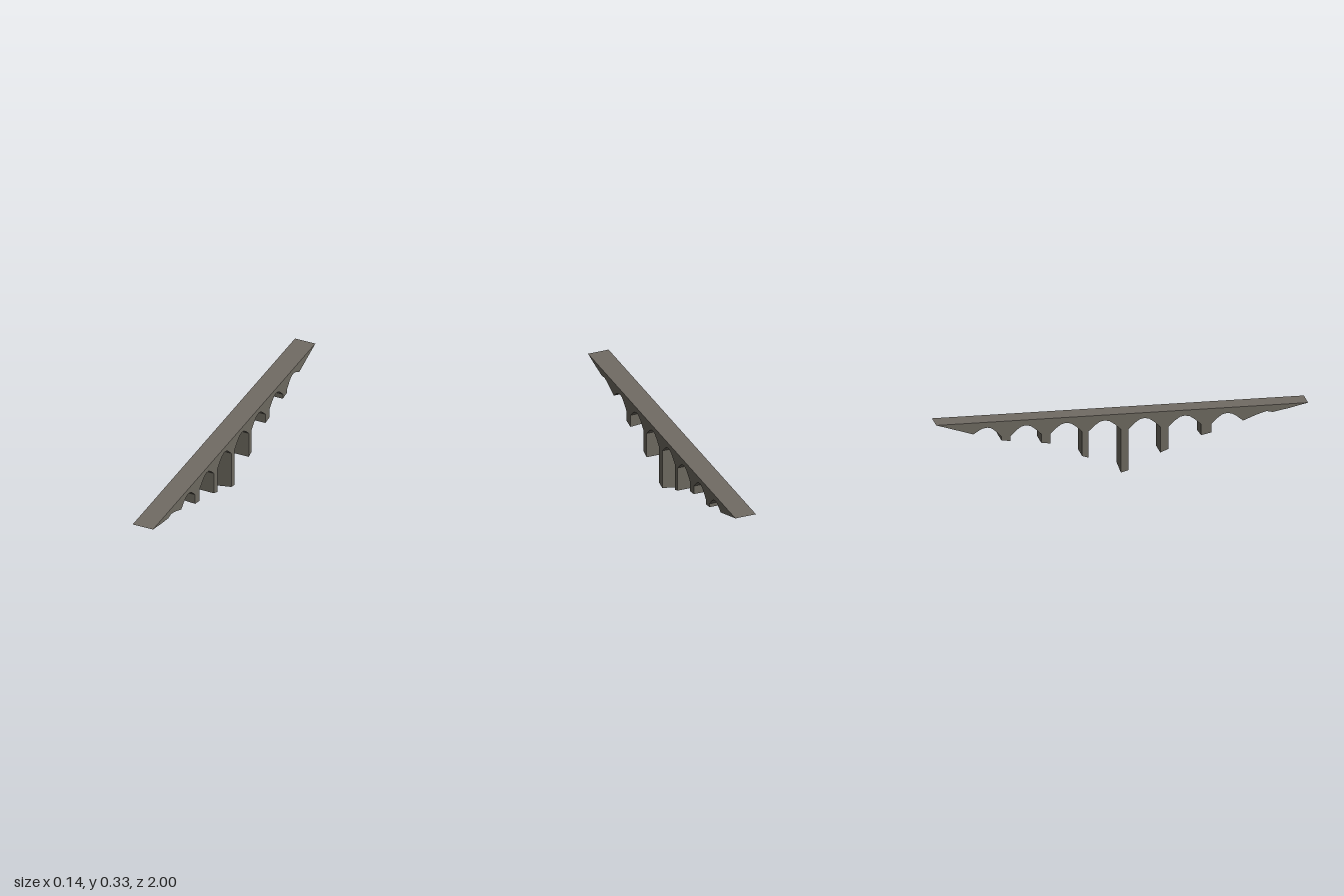
import * as THREE from 'three';

const WIDTH = 0.118, TOP = 0.328, SPRING = 0.243, CROWN = 0.298;

// Piers from front to back: front z, back z, foot heights at front and back,
// sideways foot slope, and whether the foot is pale
const PIERS = [
  { front: 0.48, back: 0.425, footFront: 0.19, footBack: 0.178, slope: -0.08, pale: true },
  { front: 0.25, back: 0.205, footFront: 0.118, footBack: 0.1, slope: 0, pale: false },
  { front: 0.035, back: -0.007, footFront: 0.022, footBack: 0.011, slope: 0.16, pale: true },
  { front: -0.18, back: -0.215, footFront: 0.095, footBack: 0.107, slope: 0, pale: false },
  { front: -0.385, back: -0.435, footFront: 0.188, footBack: 0.195, slope: 0, pale: false },
  { front: -0.6, back: -0.65, footFront: 0.215, footBack: 0.223, slope: 0, pale: false },
];

// Half of an arch: share of the span, share of the rise
const ARCH = [[0, 0], [0.2, 0.58], [0.35, 0.9], [0.5, 1]];

// Extrudes a [z, y] outline across the width and skews it along the slightly turned road line.
// pick(normal, centre) gives the material index of each triangle.
function slab(outline, name, materials, pick, footSlope = 0) {
  const shape = new THREE.Shape(outline.map(([z, y]) => new THREE.Vector2(-z, y)));
  const geometry = new THREE.ExtrudeGeometry(shape, { depth: WIDTH, bevelEnabled: false });
  geometry.translate(0, 0, -WIDTH / 2);
  geometry.rotateY(Math.PI / 2);
  const p = geometry.attributes.position;
  for (let i = 0; i < p.count; i++) {
    const x = p.getX(i), y = p.getY(i);
    if (y < SPRING - 0.01) p.setY(i, y + x * footSlope);
    p.setX(i, x - 0.009 * p.getZ(i));
  }
  geometry.computeVertexNormals();

  geometry.clearGroups();
  const triangle = new THREE.Triangle();
  const normal = new THREE.Vector3(), centre = new THREE.Vector3();
  for (let i = 0; i < p.count; i += 3) {
    triangle.setFromAttributeAndIndices(p, i, i + 1, i + 2);
    triangle.getNormal(normal);
    triangle.getMidpoint(centre);
    geometry.addGroup(i, 3, pick(normal, centre));
  }
  const mesh = new THREE.Mesh(geometry, materials);
  mesh.name = name;
  return mesh;
}

// Faceted arch from one springing point to the next
function arch(z0, y0, z1, y1) {
  const span = z1 - z0;
  const rising = ARCH.map(([t, h]) => [z0 + span * t, y0 + (CROWN - y0) * h]);
  const falling = ARCH.slice(0, -1).map(([t, h]) => [z1 - span * t, y1 + (CROWN - y1) * h]);
  return [...rising, ...falling.reverse()];
}

function paint(name, color) {
  const material = new THREE.MeshStandardMaterial({ color });
  material.name = name;
  return material;
}

export function createModel() {
  const model = new THREE.Group();
  model.name = 'archBridge';
  const stone = paint('weathered stone', 0x6e6a60);
  const road = paint('road surface', 0x716b64);
  const pale = paint('pale grey underside', 0xaeaeb2);

  // Deck and arches: front abutment, seven arches, back abutment
  const outline = [[1, TOP], [0.9, 0.305], [0.81, 0.288], [0.775, 0.295], [0.72, 0.278]];
  let z = 0.65, y = 0.25;
  for (const pier of PIERS) {
    outline.push(...arch(z, y, pier.front, SPRING));
    z = pier.back;
    y = SPRING;
  }
  outline.push(...arch(z, y, -0.8, 0.265), [-1, TOP]);
  // Road on top, pale slopes under both ends
  model.add(slab(outline, 'deckAndArches', [stone, road, pale], (n, c) => {
    if (n.y > 0.9) return 1;
    return n.y < -0.5 && Math.abs(c.z) > 0.82 ? 2 : 0;
  }));

  // Piers hanging below the springing line
  PIERS.forEach((p, i) => {
    const foot = [[p.front, SPRING], [p.front, p.footFront], [p.back, p.footBack], [p.back, SPRING]];
    const pick = (n) => (p.pale && n.y < -0.5 ? 1 : 0);
    model.add(slab(foot, `pier${i + 1}`, [stone, pale], pick, p.slope));
  });
  return model;
}
